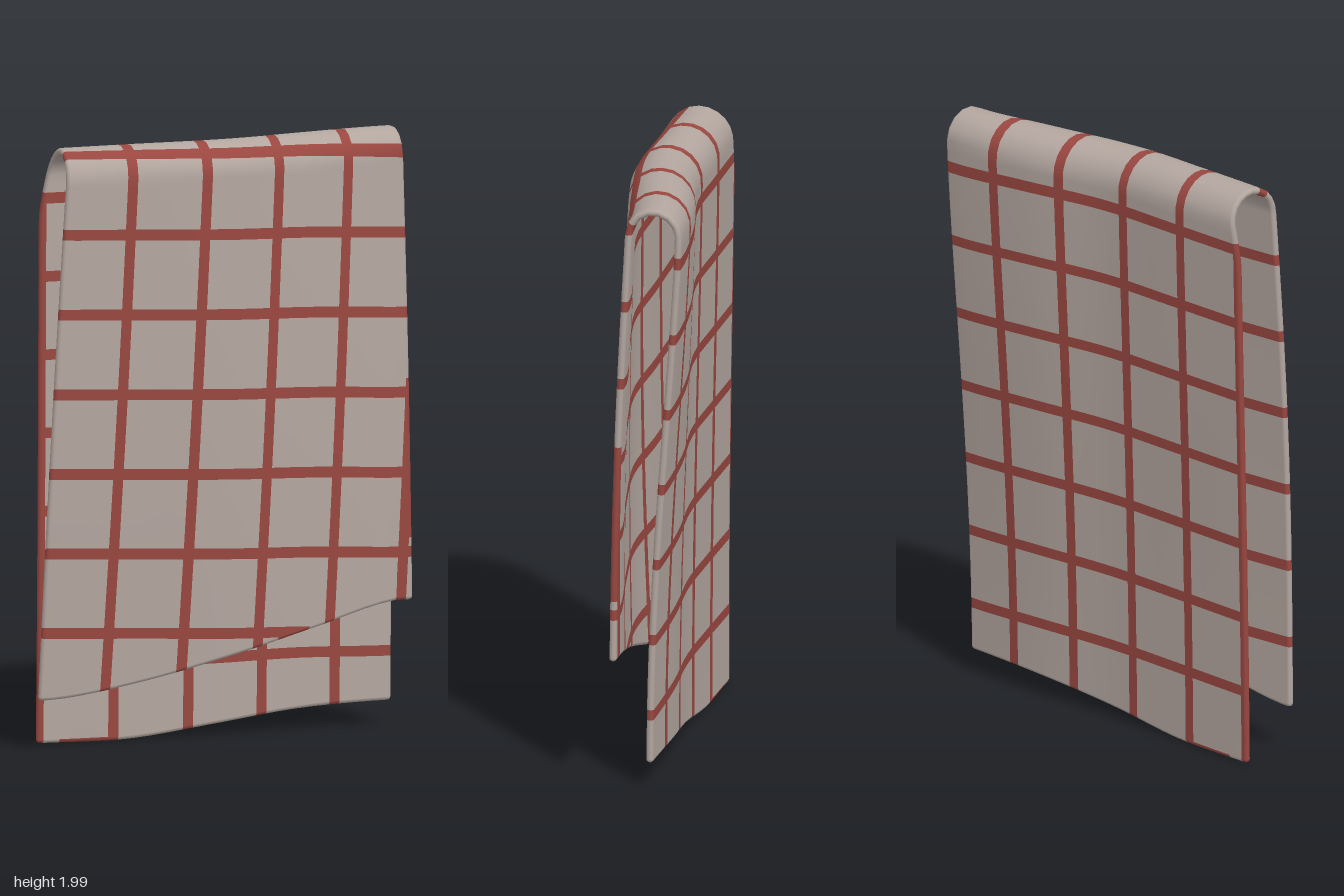
import * as THREE from 'three';

const HALF = 0.012;      // half the cloth thickness
const STEP = 0.26;       // spacing of the upright stripes
const BAND = 0.068;      // half stripe width, in stripe spacings
const { clamp, lerp, smoothstep } = THREE.MathUtils;

// Smooth value across the width, from five stations at x = -0.6 ... 0.6
function across(values) {
  const curve = new THREE.SplineCurve(values.map((v, i) => new THREE.Vector2(i, v)));
  return (x) => curve.getPoint(clamp((x + 0.6) / 1.2, 0, 1)).y;
}
const foldZ = across([0.045, 0.042, 0.036, -0.02, -0.07]);
const foldR = across([0.097, 0.098, 0.1, 0.1, 0.084]);
const frontDrift = across([-0.012, -0.008, 0.01, 0.03, 0.05]);
const backDrift = across([0.022, 0.03, 0.037, 0.07, 0.1]);
const frontHem = across([0.187, 0.232, 0.305, 0.38, 0.45]);
const backHem = across([0.02, 0.02, 0.055, 0.088, 0.1]);

// c runs across in stripe spacings, d is the length from the fold (front positive)
const xAt = (c, d) => -0.338 - (d > 0 ? 0.055 * d : -0.01 * d) + STEP * c;

function surface(c, d) {
  const x = xAt(c, d), R = foldR(x), quarter = R * Math.PI / 2;
  const top = 1.988 - R, drop = Math.abs(d) - quarter;
  if (drop < 0) {
    return new THREE.Vector3(x, top + R * Math.cos(d / R), foldZ(x) + R * Math.sin(d / R));
  }
  if (d > 0) {
    const w = drop / 1.6;
    return new THREE.Vector3(x, top - drop, foldZ(x) + R + frontDrift(x) * w + 0.012 * Math.sin(Math.PI * w));
  }
  const w = Math.min(drop / 1.85, 1);
  return new THREE.Vector3(x, top - drop, foldZ(x) - R + backDrift(x) * Math.pow(Math.sin(w * Math.PI / 2), 1.3));
}

// Row stripes r sit at whole numbers: 0 and up on the front, -1 and down on the back
const frontStart = (c) => lerp(0.052, 0.112, clamp((c + 0.87) / 4.7, 0, 1));
const BACK_START = -0.222, FRONT_ROW = 0.265, BACK_ROW = 0.26;
function rowToLength(r, c) {
  if (r >= 0) return frontStart(c) + FRONT_ROW * r;
  if (r <= -1) return BACK_START + BACK_ROW * (r + 1);
  return lerp(BACK_START, frontStart(c), r + 1);
}
function lengthToRow(d, c) {
  const f = frontStart(c);
  if (d >= f) return (d - f) / FRONT_ROW;
  if (d <= BACK_START) return -1 + (d - BACK_START) / BACK_ROW;
  return (d - BACK_START) / (f - BACK_START) - 1;
}

// Grid point trimmed to the hems and side edges
function clothPoint(c, r) {
  c = clamp(c, -0.97, 4.17);
  const reach = (d, hem) => {
    const x = xAt(c, d), R = foldR(x);
    return 1.988 - R + R * Math.PI / 2 - hem(x);
  };
  const d = clamp(rowToLength(r, c), -reach(-1.8, backHem), reach(1.6, frontHem));
  const left = d > 0
    ? -0.83 - 0.04 * Math.sin(Math.PI * Math.min(d / 1.9, 1))
    : lerp(-0.83, -0.97, smoothstep(-d, 0.05, 0.3));
  const right = 3.72 + Math.max(d, 0) * 0.25;
  const row = lengthToRow(d, c);
  c = clamp(c, left, right);
  const e = 0.002, p = surface(c, d);
  const dc = surface(c + e, d).sub(surface(c - e, d)).normalize();
  const dd = surface(c, d + e).sub(surface(c, d - e)).normalize();
  return { p, n: dd.clone().cross(dc).normalize(), dc, dd, c, r: row };
}

// Grid lines follow both borders of every stripe, with steps between stripes
function gridLines(first, last, end, steps) {
  const lines = [];
  for (let k = first; k <= last; k++) {
    lines.push(k - BAND, k + BAND);
    if (k === last) break;
    for (let i = 1; i < steps; i++) lines.push(lerp(k + BAND, k + 1 - BAND, i / steps));
  }
  for (let i = 1; i <= 3; i++) lines.push(lerp(last + BAND, end, i / 3));
  return lines.sort((a, b) => a - b);
}

const onStripe = (v) => Math.abs(v - Math.round(v)) < BAND;

// Mesh from a grid of points; group 0 is plain cloth, group 1 is stripe
function patch(name, grid, materials) {
  const width = grid[0].length, flat = grid.flat();
  const lists = [[], []];
  const addTriangle = (list, a, b, c) => {
    const A = flat[a], face = flat[b].p.clone().sub(A.p).cross(flat[c].p.clone().sub(A.p));
    if (face.length() < 1e-9) return;
    const facing = face.dot(A.n.clone().add(flat[b].n).add(flat[c].n));
    list.push(...(facing > 0 ? [a, b, c] : [a, c, b]));
  };
  for (let j = 0; j < grid.length - 1; j++) {
    for (let i = 0; i < width - 1; i++) {
      const a = j * width + i, b = a + width;
      const mean = (key) => (flat[a][key] + flat[a + 1][key] + flat[b][key] + flat[b + 1][key]) / 4;
      const list = lists[onStripe(mean('c')) || onStripe(mean('r')) ? 1 : 0];
      addTriangle(list, a, b, a + 1);
      addTriangle(list, a + 1, b, b + 1);
    }
  }
  const geometry = new THREE.BufferGeometry();
  geometry.setAttribute('position', new THREE.Float32BufferAttribute(flat.flatMap((v) => v.p.toArray()), 3));
  geometry.setAttribute('normal', new THREE.Float32BufferAttribute(flat.flatMap((v) => v.n.toArray()), 3));
  geometry.setIndex([...lists[0], ...lists[1]]);
  geometry.addGroup(0, lists[0].length, 0);
  geometry.addGroup(lists[0].length, lists[1].length, 1);
  const mesh = new THREE.Mesh(geometry, materials);
  mesh.name = name;
  return mesh;
}

export function createModel() {
  const cloth = new THREE.MeshStandardMaterial({ color: 0xb3a69f });
  cloth.name = 'warm grey cloth';
  const stripe = new THREE.MeshStandardMaterial({ color: 0x994740 });
  stripe.name = 'brick red stripe';
  const materials = [cloth, stripe];

  const columns = gridLines(-1, 4, 4.2, 4);
  const rows = gridLines(-8, 6, 7.2, 8);
  const grid = rows.map((r) => columns.map((c) => clothPoint(c, r)));
  const J = rows.length - 1, I = columns.length - 1;

  // Outer and inner faces of the folded towel
  const face = (side) => grid.map((line) => line.map((v) => ({
    ...v, p: v.p.clone().addScaledVector(v.n, side * HALF), n: v.n.clone().multiplyScalar(side),
  })));

  // Rounded rim around the whole border
  const border = [];
  for (let j = 0; j <= J; j++) border.push([j, 0]);
  for (let i = 0; i <= I; i++) border.push([J, i]);
  for (let j = J; j >= 0; j--) border.push([j, I]);
  for (let i = I; i >= 0; i--) border.push([0, i]);
  const rim = border.map(([j, i]) => {
    const v = grid[j][i], out = new THREE.Vector3();
    if (i === 0) out.sub(v.dc);
    if (i === I) out.add(v.dc);
    if (j === 0) out.sub(v.dd);
    if (j === J) out.add(v.dd);
    out.normalize();
    return [0, 1, 2, 3, 4, 5, 6].map((k) => {
      const a = k / 6 * Math.PI;
      const n = v.n.clone().multiplyScalar(Math.cos(a)).addScaledVector(out, Math.sin(a));
      return { ...v, p: v.p.clone().addScaledVector(n, HALF), n };
    });
  });

  const towel = new THREE.Group();
  towel.name = 'foldedTowel';
  towel.add(
    patch('outerFace', face(1), materials),
    patch('innerFace', face(-1), materials),
    patch('hemRim', rim, materials),
  );
  return towel;
}
